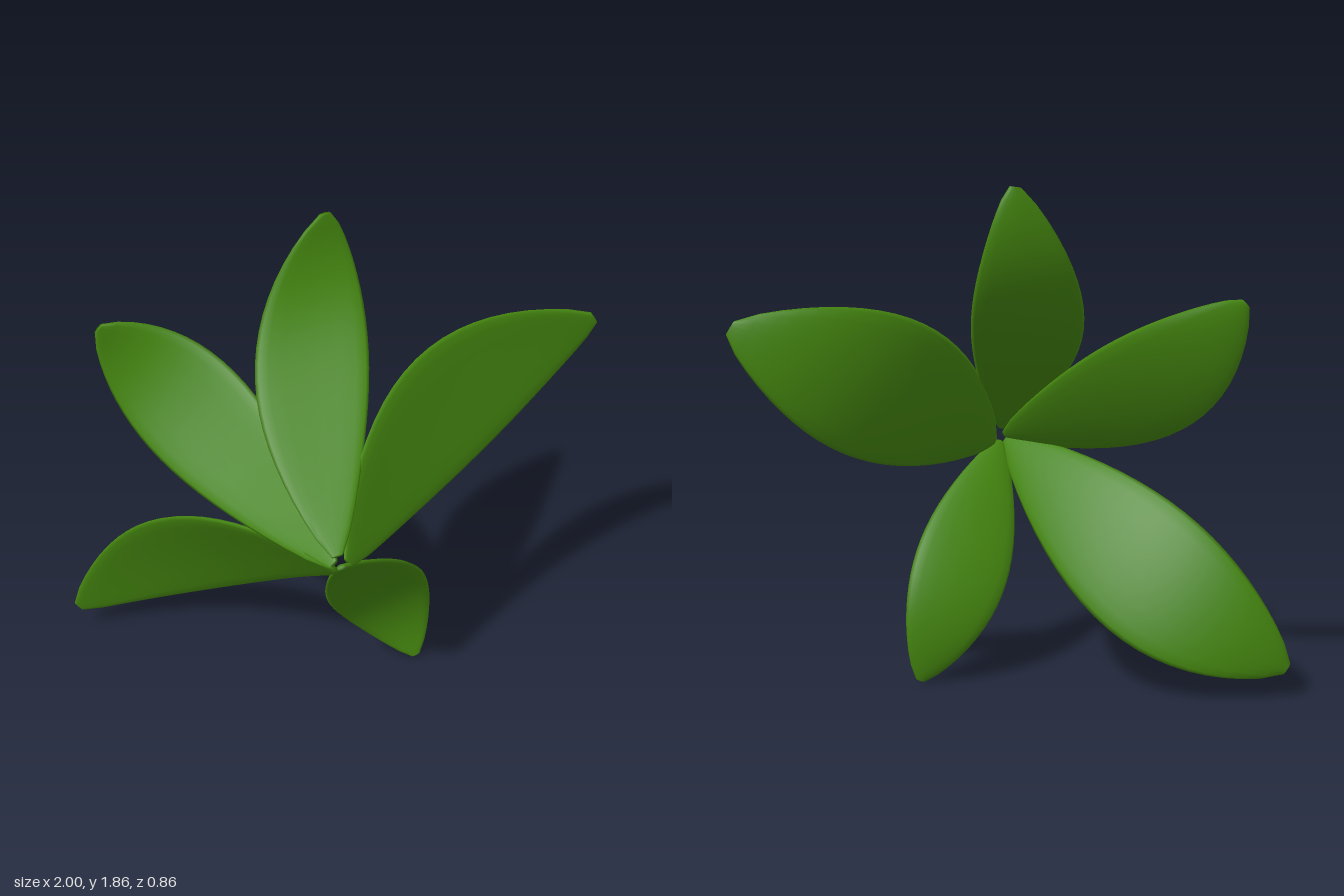
import * as THREE from 'three';

const RINGS = 20, SIDES = 18;

// One blade: a midline through base, mid and tip; side is the half-width vector at its
// widest, and bend keeps the base straight and curls the blade late, towards the tip.
function leafGeometry({ base, mid, tip, side, bend }) {
  const b = new THREE.Vector3(...base), m = new THREE.Vector3(...mid);
  const e = new THREE.Vector3(...tip), s = new THREE.Vector3(...side);
  const ctrl = m.clone().multiplyScalar(2).addScaledVector(b, -0.5).addScaledVector(e, -0.5);
  const midline = new THREE.QuadraticBezierCurve3(b, ctrl, e);
  const positions = [], index = [];

  // Rounded, slightly cupped sections; the first and last collapse to close the ends
  for (let i = -1; i <= RINGS + 1; i++) {
    const t = THREE.MathUtils.clamp(i / RINGS, 0, 1);
    const open = i < 0 || i > RINGS ? 0 : 1;
    const normal = midline.getTangent(t).cross(s).normalize();
    const centre = midline.getPoint(t).addScaledVector(normal, bend * Math.sin(2 * Math.PI * t));
    const width = 0.1 + 0.9 * Math.pow(Math.max(0, Math.sin(Math.PI * t)), 0.8);
    const thick = 0.01 + 0.011 * width;
    for (let j = 0; j < SIDES; j++) {
      const a = (j / SIDES) * Math.PI * 2, c = Math.cos(a), n = Math.sin(a);
      const lift = Math.sign(n) * Math.pow(Math.abs(n), 0.7) * thick + 0.012 * width * (c * c - 0.5);
      const p = centre.clone()
        .addScaledVector(s, c * width * open)
        .addScaledVector(normal, lift * open);
      positions.push(p.x, p.y, p.z);
    }
  }
  for (let i = 0; i < RINGS + 2; i++) {
    for (let j = 0; j < SIDES; j++) {
      const k = (j + 1) % SIDES;
      const p = i * SIDES + j, q = i * SIDES + k;
      index.push(p, q, q + SIDES, p, q + SIDES, p + SIDES);
    }
  }
  const geometry = new THREE.BufferGeometry();
  geometry.setAttribute('position', new THREE.Float32BufferAttribute(positions, 3));
  geometry.setIndex(index);
  geometry.computeVertexNormals();
  return geometry;
}

export function createModel() {
  const model = new THREE.Group();
  model.name = 'leafCluster';
  const green = new THREE.MeshStandardMaterial({ color: 0x44850f });

  // Five leaves fanning back from a shared centre
  const leaves = [
    { name: 'topLeaf', base: [-0.075, 0.88, 0.42], mid: [-0.08, 1.35, -0.095], tip: [0, 1.86, -0.28], side: [-0.21, -0.03, 0.02], bend: 0.018 },
    { name: 'upperLeftLeaf', base: [-0.03, 0.825, 0.39], mid: [0.44, 1.13, -0.1], tip: [0.99, 1.38, -0.2], side: [-0.148, 0.228, 0.03], bend: 0 },
    { name: 'upperRightLeaf', base: [-0.09, 0.845, 0.42], mid: [-0.49, 1.12, -0.185], tip: [-0.82, 1.44, -0.33], side: [-0.145, -0.165, 0.02], bend: 0 },
    { name: 'lowerRightLeaf', base: [-0.09, 0.825, 0.42], mid: [-0.495, 0.455, -0.24], tip: [-0.98, 0.11, -0.41], side: [0.15, -0.205, -0.03], bend: 0 },
    { name: 'lowerLeftLeaf', base: [-0.06, 0.82, 0.41], mid: [0.14, 0.42, 0.06], tip: [0.31, 0.01, -0.01], side: [0.17, 0.07, 0], bend: 0.01 },
  ];
  for (const spec of leaves) {
    const leaf = new THREE.Mesh(leafGeometry(spec), green);
    leaf.name = spec.name;
    model.add(leaf);
  }
  return model;
}
